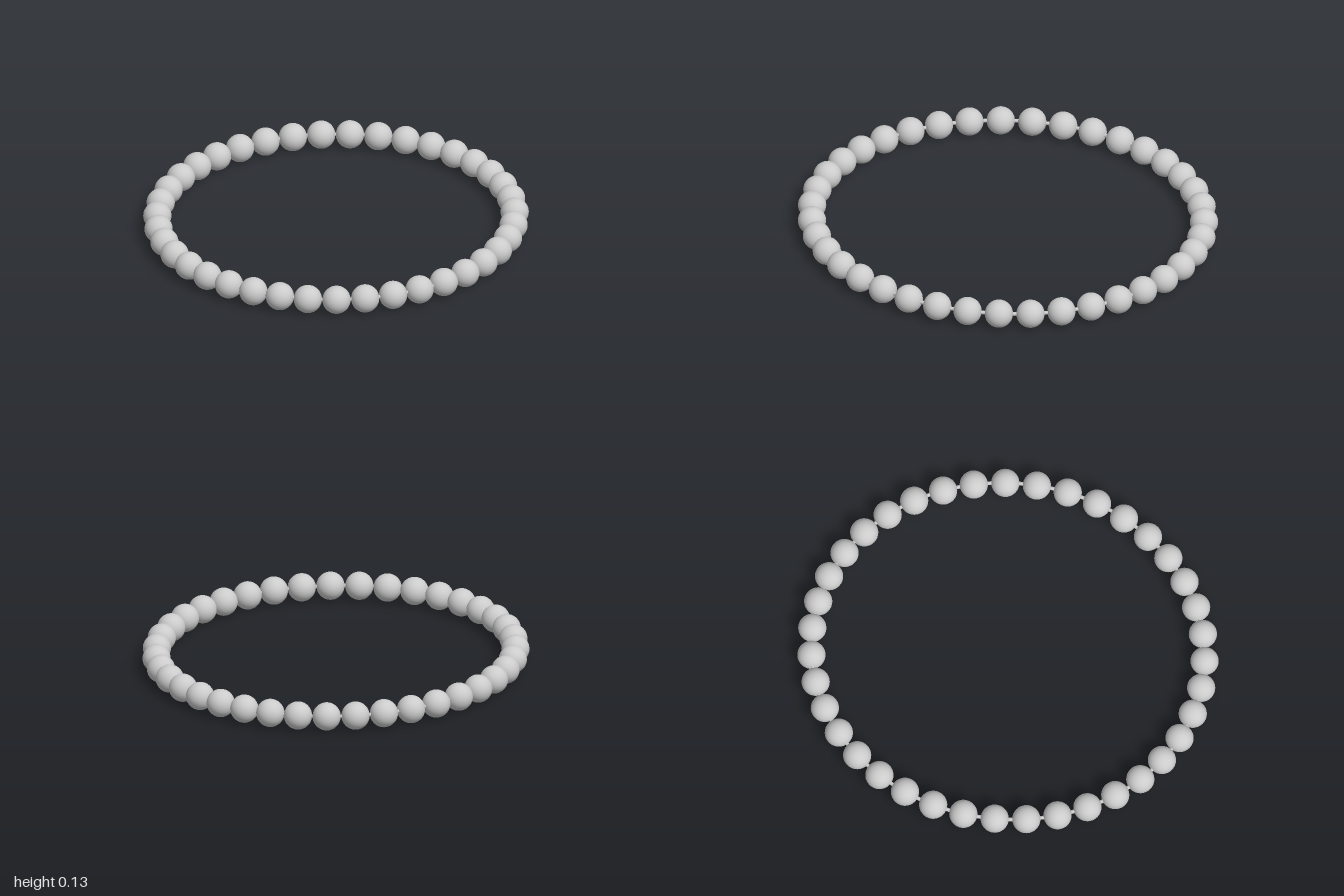
import * as THREE from 'three';

const BEADS = 39;
const RADIUS = 0.067; // bead radius
const A = 0.845; // half width of the oval
const B = 0.933; // half depth of the oval

const ovalPoint = (t) => new THREE.Vector3(A * Math.cos(t), RADIUS, B * Math.sin(t));

export function createModel() {
  const group = new THREE.Group();
  group.name = 'beadedBracelet';
  const material = new THREE.MeshStandardMaterial({ color: 0xcccccc });

  // Points round the oval, the first on +x
  const points = Array.from({ length: BEADS }, (_, i) => ovalPoint((i / BEADS) * Math.PI * 2));

  // Thin cord running through the beads
  const path = new THREE.CatmullRomCurve3(points, true);
  const cord = new THREE.Mesh(new THREE.TubeGeometry(path, 156, 0.009, 10, true), material);
  cord.name = 'cord';
  group.add(cord);

  // Round beads
  const beads = new THREE.Group();
  beads.name = 'beads';
  const beadGeometry = new THREE.SphereGeometry(RADIUS, 32, 24);
  points.forEach((p, i) => {
    const bead = new THREE.Mesh(beadGeometry, material);
    bead.name = `bead${i + 1}`;
    bead.position.copy(p);
    beads.add(bead);
  });
  group.add(beads);

  return group;
}
